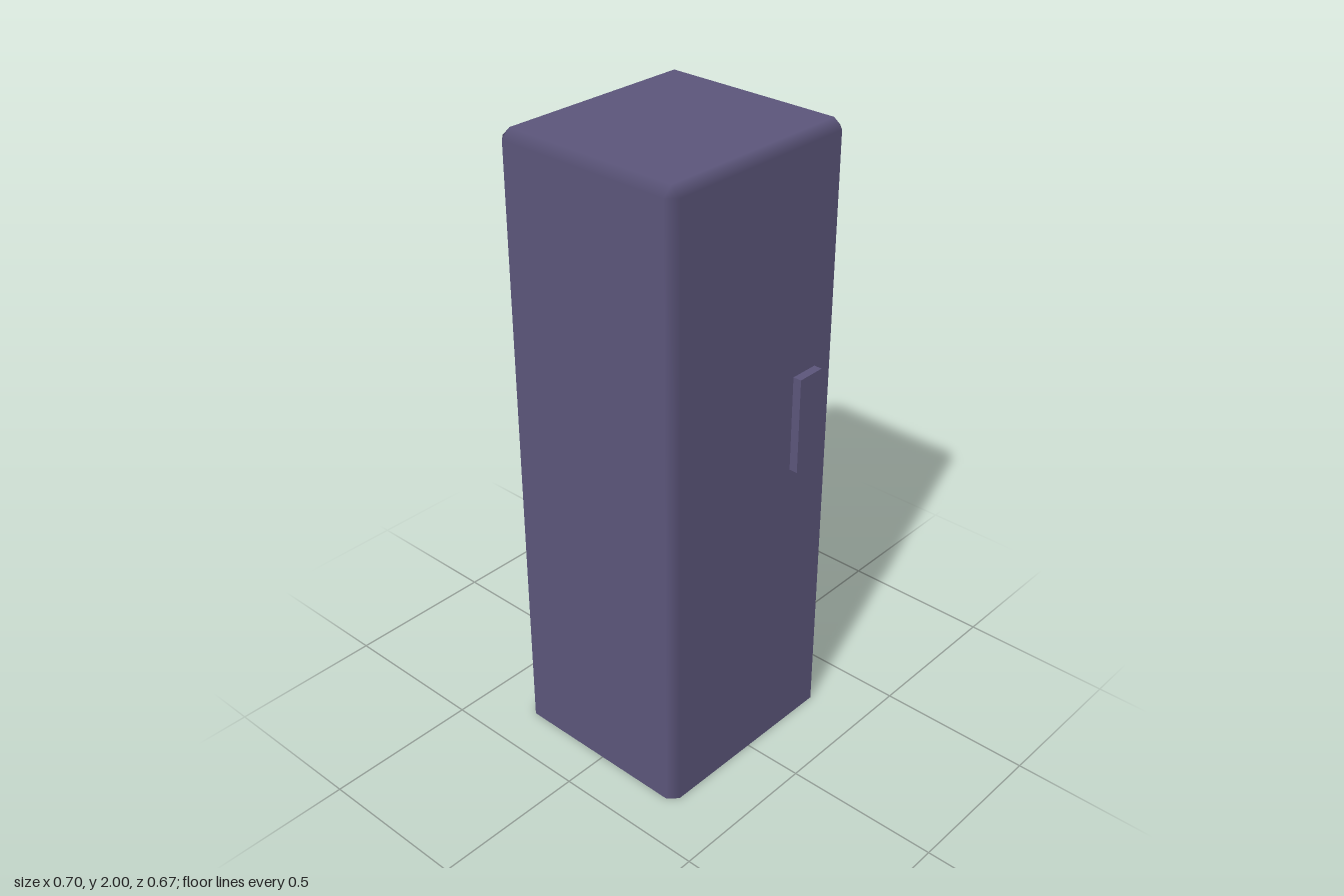
import * as THREE from 'three';

// Chamfered cabinet shell, open underneath; normals blend across the chamfers.
function shellGeometry(halfW, halfD, height, bevel) {
  const positions = [], normals = [], index = [];
  const w = halfW - bevel, d = halfD - bevel;
  // Each corner gives two outline points, one on each adjoining wall.
  const ring = [];
  const corners = [[1, 1], [1, -1], [-1, -1], [-1, 1]];
  corners.forEach(([sx, sz], i) => {
    const zWall = { x: sx * w, z: sz * halfD, n: [0, 0, sz] };
    const xWall = { x: sx * halfW, z: sz * d, n: [sx, 0, 0] };
    ring.push(...(i % 2 === 0 ? [zWall, xWall] : [xWall, zWall]));
  });
  const addLoop = (y, point, normal) => ring.forEach((p) => {
    positions.push(...point(p, y));
    normals.push(...normal(p));
  });
  addLoop(0, (p, y) => [p.x, y, p.z], (p) => p.n);
  addLoop(height - bevel, (p, y) => [p.x, y, p.z], (p) => p.n);
  addLoop(height, (p, y) => [Math.sign(p.x) * w, y, Math.sign(p.z) * d], () => [0, 1, 0]);

  // Walls, then the top chamfer, where corner quads shrink to triangles.
  for (let i = 0; i < 8; i++) {
    const j = (i + 1) % 8;
    index.push(i, j, 8 + j, i, 8 + j, 8 + i);
    index.push(8 + i, 8 + j, 16 + i);
    if (i % 2 === 1) index.push(8 + j, 16 + j, 16 + i);
  }
  // Flat top
  index.push(16, 18, 20, 16, 20, 22);

  const geometry = new THREE.BufferGeometry();
  geometry.setAttribute('position', new THREE.Float32BufferAttribute(positions, 3));
  geometry.setAttribute('normal', new THREE.Float32BufferAttribute(normals, 3));
  geometry.setIndex(index);
  return geometry;
}

export function createModel() {
  const group = new THREE.Group();
  group.name = 'locker';

  const paint = new THREE.MeshStandardMaterial({ color: 0x5b557a, side: THREE.DoubleSide });
  paint.name = 'mutedPurple';

  // Body, turned very slightly
  const body = new THREE.Mesh(shellGeometry(0.35, 0.3205, 2, 0.029), paint);
  body.name = 'body';
  body.position.set(-0.001, 0, -0.014);
  body.rotation.y = -0.0075;
  group.add(body);

  // Door handle
  const handle = new THREE.Mesh(new THREE.BoxGeometry(0.095, 0.31, 0.03), paint);
  handle.name = 'handle';
  handle.position.set(0.2, 1.125, 0.32);
  group.add(handle);

  return group;
}
